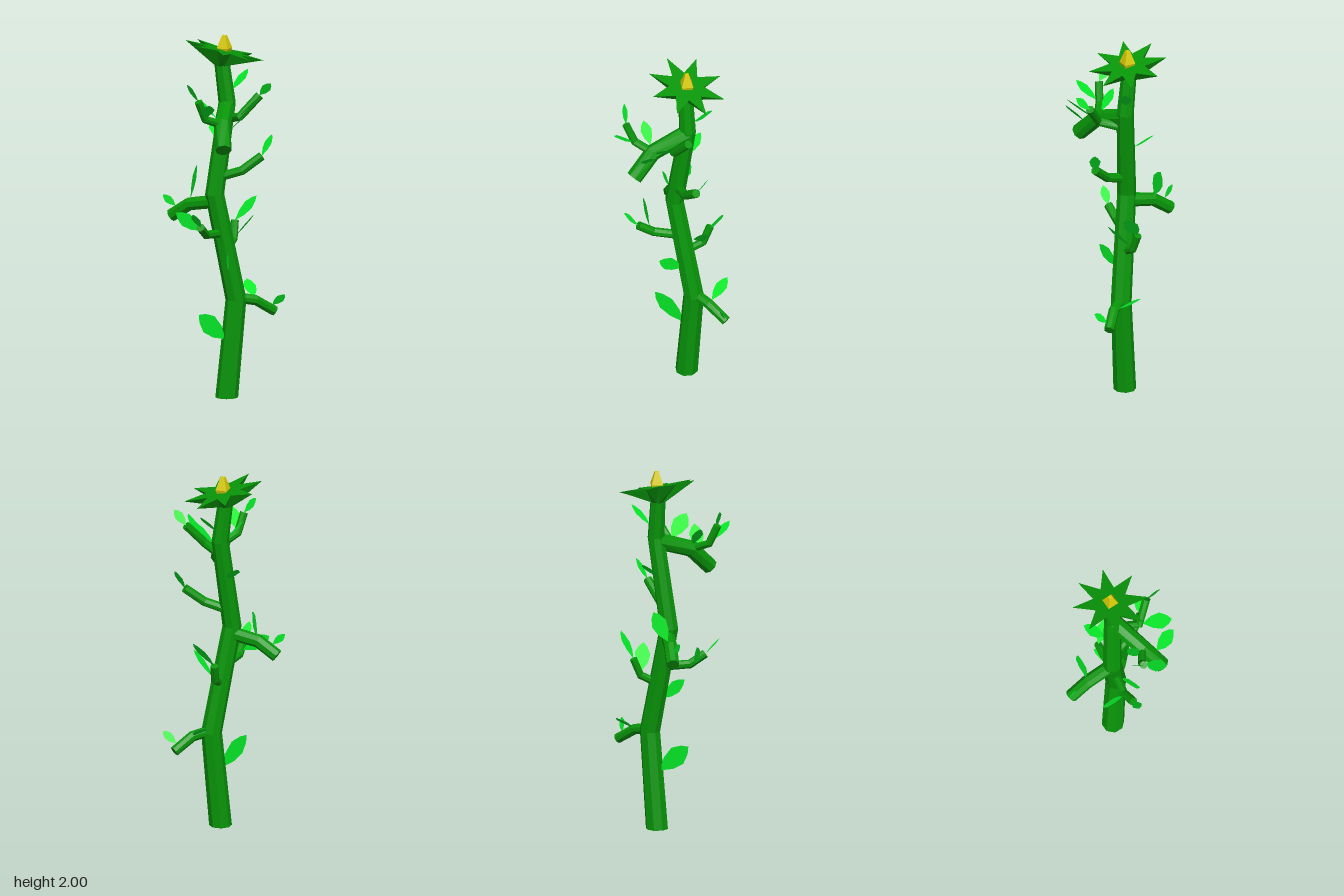
import * as THREE from 'three';

const V = (x, y, z) => new THREE.Vector3(x, y, z);
const UP = V(0, 1, 0);
const DEPTH = V(0.15, 0, 1);
const SLANT = V(0, 1, 0.5);
const material = (color) =>
  new THREE.MeshStandardMaterial({ color, flatShading: true, side: THREE.DoubleSide });

// Skin between rings of points, closed at both ends
function loft(name, rings, mat) {
  const n = rings[0].length;
  const pos = [];
  const tri = (...points) => points.forEach((p) => pos.push(p.x, p.y, p.z));
  const middle = (ring) => ring.reduce((s, p) => s.add(p), V(0, 0, 0)).divideScalar(n);
  const first = rings[0], last = rings[rings.length - 1];
  const start = middle(first), end = middle(last);
  for (let j = 0; j < n; j++) {
    const k = (j + 1) % n;
    for (let i = 0; i + 1 < rings.length; i++) {
      const lo = rings[i], hi = rings[i + 1];
      tri(lo[j], hi[j], lo[k]);
      tri(lo[k], hi[j], hi[k]);
    }
    tri(start, first[j], first[k]);
    tri(end, last[k], last[j]);
  }
  const geo = new THREE.BufferGeometry();
  geo.setAttribute('position', new THREE.Float32BufferAttribute(pos, 3));
  geo.computeVertexNormals();
  const mesh = new THREE.Mesh(geo, mat);
  mesh.name = name;
  return mesh;
}

// Regular polygon around a point, facing along an axis
function ringAt(centre, radius, axis = UP, sides = 8) {
  const q = new THREE.Quaternion().setFromUnitVectors(UP, axis);
  return Array.from({ length: sides }, (_, j) => {
    const a = Math.PI / (sides === 4 ? 4 : 8) + (j / sides) * Math.PI * 2;
    return V(Math.cos(a) * radius, 0, Math.sin(a) * radius).applyQuaternion(q).add(centre);
  });
}

// Bent eight-sided stem through a few points, tapering evenly
function limb(name, path, r0, r1, mat) {
  const rings = path.map((p, i) => {
    const into = p.clone().sub(path[Math.max(i - 1, 0)]).normalize();
    const out = path[Math.min(i + 1, path.length - 1)].clone().sub(p).normalize();
    const axis = p.y === 0 ? UP : into.add(out).normalize();
    return ringAt(p, THREE.MathUtils.lerp(r0, r1, i / (path.length - 1)), axis);
  });
  return loft(name, rings, mat);
}

// Flat pointed leaf growing from just outside a stem; hint is the direction of its width
function createLeaf(root, tip, clearance, hint, mat) {
  const dir = tip.clone().sub(root).normalize();
  const base = root.clone().addScaledVector(dir, clearance);
  const length = base.distanceTo(tip), half = length * 0.235;
  const side = hint ? hint.clone() : V(0, 0, 0).crossVectors(dir, UP);
  side.addScaledVector(dir, -side.dot(dir)).normalize();
  const edge = [[0.75, 0.32], [1, 0.62], [0.55, 0.86]]
    .map(([w, t]) => new THREE.Vector2(w * half, t * length));
  const mirrored = edge.map((p) => new THREE.Vector2(-p.x, p.y)).reverse();
  const shape = new THREE.Shape(
    [new THREE.Vector2(0, 0), ...edge, new THREE.Vector2(0, length), ...mirrored]);
  const mesh = new THREE.Mesh(new THREE.ShapeGeometry(shape), mat);
  mesh.applyMatrix4(new THREE.Matrix4()
    .makeBasis(side, dir, V(0, 0, 0).crossVectors(side, dir)).setPosition(base));
  mesh.name = 'leaf';
  return mesh;
}

// Flat tilted eight-pointed star on a cone, with a four-sided bud
function createFlower(green) {
  const flower = new THREE.Group();
  flower.name = 'flower';
  const centre = V(0.015, 1.918, -0.097);
  const star = ringAt(V(0, 0, 0), 1, UP, 16).map((p, j) => {
    p.multiplyScalar(j % 2 === 0 ? 0.212 : 0.097);
    p.y = -0.22 * p.x + 0.15 * p.z;
    return p.add(centre);
  });
  const neck = ringAt(V(0.003, 1.835, -0.092), 0.04, UP, 16);
  flower.add(loft('petals', [neck, star], green));
  const bud = [[1.89, 0.028], [1.93, 0.045], [2, 0.015]]
    .map(([y, r]) => ringAt(V(0.015, y, -0.098), r, UP, 4));
  flower.add(loft('bud', bud, material(0xd8cc08)));
  return flower;
}

export function createModel() {
  const model = new THREE.Group();
  model.name = 'plant';
  const stemGreen = material(0x089609);
  const leafGreen = material(0x05ea28);

  // Trunk
  const trunk = [V(0.03, 0, -0.095), V(0.07, 0.54, -0.128), V(-0.015, 1.13, -0.035),
    V(0.03, 1.63, -0.1), V(0.003, 1.85, -0.092)];
  model.add(limb('trunk', trunk, 0.062, 0.042, stemGreen));

  // Point inside the trunk at a height
  const trunkAt = (y) => {
    const i = trunk.findIndex((p) => p.y > y);
    const a = trunk[i - 1], b = trunk[i];
    return a.clone().lerp(b, (y - a.y) / (b.y - a.y));
  };
  const trunkLeaf = (y, tip, hint) =>
    model.add(createLeaf(trunkAt(y), tip, 0.05, hint, leafGreen));

  // Branch with one bend; the returned function adds a leaf at t (0.5 bend, 1 end)
  const branch = (start, bend, end, r) => {
    model.add(limb('branch', [start, bend, end], r, r * 0.95, stemGreen));
    return (t, tip, hint) => {
      const root = bend.clone().lerp(end, t * 2 - 1);
      model.add(createLeaf(root, tip, t < 1 ? r * 0.9 : 0, hint, leafGreen));
    };
  };

  trunkLeaf(0.29, V(-0.065, 0.475, 0.065), UP);
  trunkLeaf(0.69, V(0.1, 0.81, 0.065), UP);
  trunkLeaf(1.39, V(-0.098, 1.51, -0.19));
  trunkLeaf(1.66, V(0.1, 1.8, -0.225));

  const lowest = branch(trunkAt(0.55), V(0.155, 0.528, -0.2), V(0.23, 0.46, -0.283), 0.03);
  lowest(0.85, V(0.305, 0.56, -0.255), SLANT);
  lowest(0.5, V(0.05, 0.62, -0.315));

  const back = branch(trunkAt(0.81), V(0.03, 0.86, -0.185), V(0.02, 0.955, -0.225), 0.023);
  back(1, V(0.125, 1.09, -0.28), V(-1, 0.6, -1));
  back(0.5, V(0.165, 1.01, -0.15), DEPTH);

  const front = branch(trunkAt(0.91), V(-0.015, 0.925, 0.08), V(-0.01, 0.98, 0.165), 0.025);
  front(1, V(-0.02, 1.065, 0.242));
  front(0.6, V(-0.178, 1.04, 0.115), UP);

  const right = branch(trunkAt(1.09), V(-0.17, 1.062, -0.045), V(-0.278, 0.99, -0.047), 0.038);
  right(0.75, V(-0.312, 1.107, -0.012), UP);
  right(0.5, V(-0.168, 1.26, -0.14), DEPTH);

  const left = branch(trunkAt(1.22), V(0.13, 1.265, -0.075), V(0.227, 1.345, -0.12), 0.026);
  left(1, V(0.262, 1.458, -0.18));

  const upperLeft = branch(trunkAt(1.54), V(0.145, 1.575, -0.01), V(0.235, 1.69, -0.075), 0.025);
  upperLeft(1, V(0.31, 1.765, -0.055), SLANT);
  upperLeft(0.5, V(0.285, 1.695, 0.1), DEPTH);

  const thickBend = V(0.09, 1.545, 0.1);
  const thick = branch(trunkAt(1.61), thickBend, V(0.147, 1.428, 0.21), 0.047);
  thick(0.75, V(0.268, 1.64, 0.14), DEPTH);
  thick(0.5, V(-0.025, 1.68, 0.135));

  const twig = branch(thickBend, V(0.03, 1.585, 0.19), V(0.01, 1.69, 0.235), 0.023);
  twig(1, V(-0.06, 1.78, 0.235), SLANT);
  twig(0.5, V(0.108, 1.69, 0.313));

  model.add(createFlower(stemGreen));
  return model;
}
